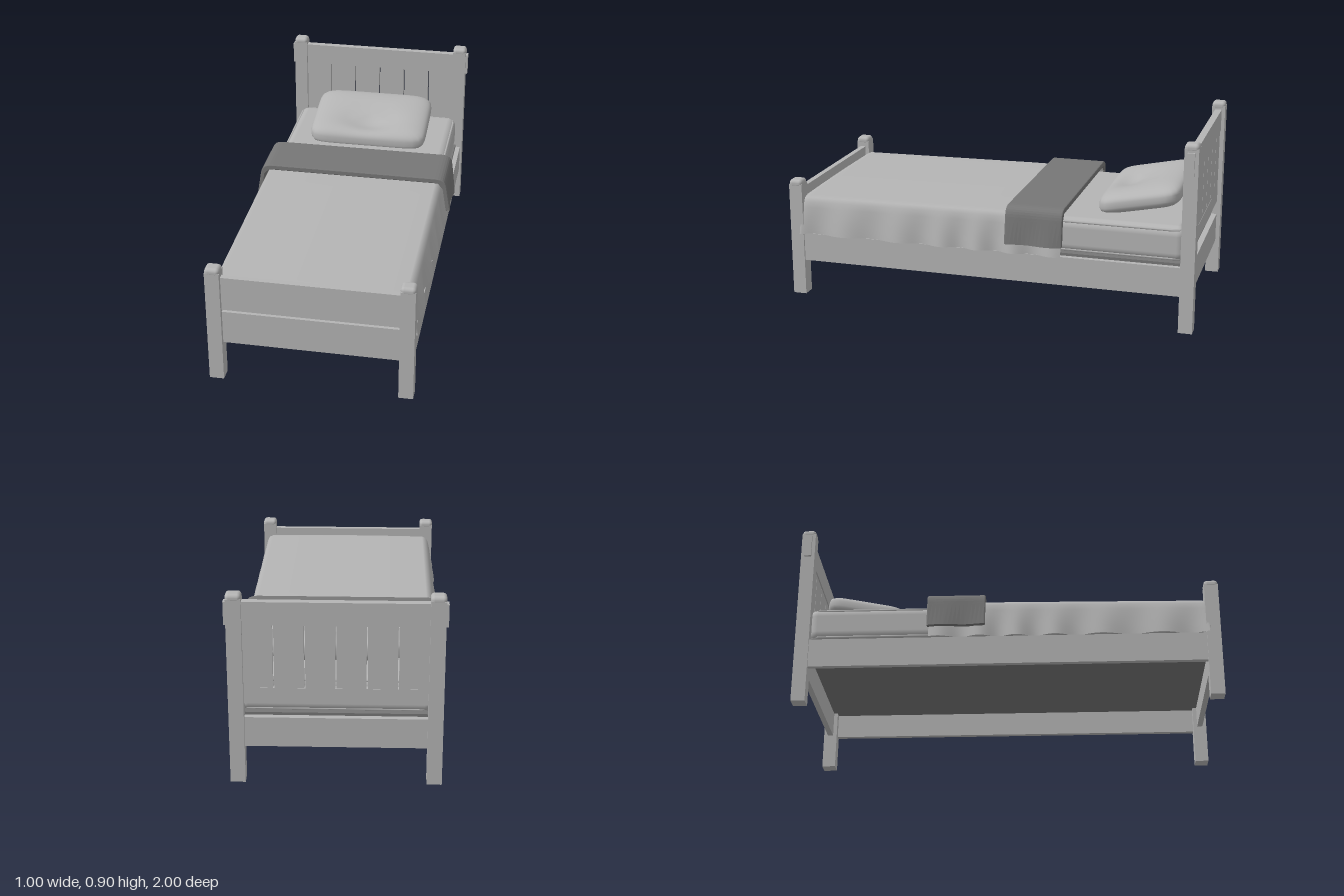
import * as THREE from 'three';
import { mergeVertices } from 'three/addons/utils/BufferGeometryUtils.js';
import { RoundedBoxGeometry } from 'three/addons/geometries/RoundedBoxGeometry.js';

export function createModel() {
  const bed = new THREE.Group();
  bed.name = 'bed';
  const mat = (name, color) => new THREE.MeshStandardMaterial({ name, color });
  const wood = mat('pale grey', 0xb4b4b4);
  const dark = mat('dark grey', 0x767676);
  const cloth = wood.clone();
  cloth.name = 'pale grey cloth';
  cloth.side = THREE.DoubleSide;

  const add = (name, geometry, material) => {
    const mesh = new THREE.Mesh(geometry, material);
    mesh.name = name;
    bed.add(mesh);
    return mesh;
  };
  // box given by its extents
  const box = (name, x0, x1, y0, y1, z0, z1, material = wood) =>
    add(name, new THREE.BoxGeometry(x1 - x0, y1 - y0, z1 - z0), material)
      .position.set((x0 + x1) / 2, (y0 + y1) / 2, (z0 + z1) / 2);
  // join coincident vertices and smooth the result
  const smooth = (g) => {
    g.deleteAttribute('uv');
    g.deleteAttribute('normal');
    const merged = mergeVertices(g, 1e-5);
    merged.computeVertexNormals();
    return merged;
  };

  // posts with softly rounded caps, and side rails
  for (const s of [-1, 1]) {
    for (const [name, z, top] of [['footPost', 0.967, 0.587], ['headPost', -0.967, 0.905]]) {
      box(name, s * 0.44 - 0.034, s * 0.44 + 0.034, 0, top - 0.023, z - 0.033, z + 0.033);
      add(name + 'Cap', new RoundedBoxGeometry(0.07, 0.04, 0.067, 4, 0.017), wood)
        .position.set(s * 0.44, top - 0.02, z);
    }
    box('sideRail', s * 0.4525 - 0.0125, s * 0.4525 + 0.0125, 0.175, 0.315, -0.94, 0.94);
  }

  // footboard
  box('footUpperBoard', -0.41, 0.41, 0.367, 0.536, 0.953, 0.98);
  box('footLowerBoard', -0.41, 0.41, 0.191, 0.356, 0.953, 0.98);

  // headboard
  box('headTopRail', -0.485, 0.485, 0.758, 0.866, -0.983, -0.95);
  box('headMiddleRail', -0.41, 0.41, 0.385, 0.46, -0.98, -0.953);
  box('headLowerRail', -0.41, 0.41, 0.172, 0.315, -0.98, -0.953);
  for (let i = 0; i < 6; i++) {
    const x = (i - 2.5) * 0.1365;
    box('headSlat', x - 0.0655, x + 0.0655, 0.45, 0.765, -0.979, -0.956);
  }

  // base board
  box('baseBoard', -0.44, 0.44, 0.295, 0.328, -0.953, 0.953, dark);

  // mattress with piped seams
  add('mattress', new RoundedBoxGeometry(0.872, 0.17, 1.895, 6, 0.045), wood)
    .position.set(0, 0.412, -0.003);
  const corners = [];
  for (const [sx, sz, a0] of [[1, 1, 0], [-1, 1, 1], [-1, -1, 2], [1, -1, 3]]) {
    for (let i = 0; i <= 4; i++) {
      const a = (a0 + i / 4) * Math.PI / 2;
      corners.push(new THREE.Vector3(sx * 0.385 + 0.04 * Math.cos(a), 0, sz * 0.898 + 0.04 * Math.sin(a)));
    }
  }
  const seam = new THREE.CurvePath();
  corners.forEach((p, i) => seam.add(new THREE.LineCurve3(p, corners[(i + 1) % corners.length])));
  for (const y of [0.343, 0.481])
    add('mattressPiping', new THREE.TubeGeometry(seam, 160, 0.007, 6, true), wood).position.y = y;

  // blanket: half profile (x, y, amount of ripple), mirrored and swept along z
  const half = [[0.466, 0.315, 1], [0.464, 0.36, 0.8], [0.46, 0.41, 0.5], [0.456, 0.455, 0.2],
    [0.451, 0.485, 0], [0.44, 0.505, 0], [0.42, 0.513, 0], [0.2, 0.516, 0]];
  const profile = [...half.map(([x, y, r]) => [-x, y, r]), [0, 0.517, 0], ...half.slice().reverse()];
  const rows = 96;
  const sheet = new THREE.PlaneGeometry(1, 1, profile.length - 1, rows);
  const p = sheet.attributes.position;
  for (let i = 0; i < p.count; i++) {
    const [x, y, r] = profile[i % profile.length];
    const t = Math.floor(i / profile.length) / rows;
    // the last rows round over and hang down behind the footboard
    const run = -0.37 + t * 1.48;
    const fold = THREE.MathUtils.clamp((run - 0.92) / 0.19, 0, 1);
    const z = Math.min(run, 0.92) + 0.031 * Math.sin(Math.min(fold * 4, 1) * Math.PI / 2);
    const drop = fold < 0.25 ? 0.025 * (1 - Math.cos(fold * 2 * Math.PI)) : 0.025 + (fold - 0.25) * 0.2;
    const wave = Math.sin(z * 29 + 1.5 * Math.sin(z * 5)) * 0.013 + 0.007;
    const sag = 0.012 * Math.max(z, 0) * (1 - r);
    p.setXYZ(i, x + Math.sign(x) * r * wave, Math.max(y - drop - sag, 0.315), z);
  }
  add('blanket', smooth(sheet), cloth);

  // folded blanket band across the bed, its hanging ends gently rippled
  const band = new THREE.Shape();
  band.moveTo(-0.495, 0.368);
  band.lineTo(-0.48, 0.48);
  band.bezierCurveTo(-0.475, 0.525, -0.465, 0.541, -0.42, 0.542);
  band.lineTo(0.42, 0.542);
  band.bezierCurveTo(0.465, 0.541, 0.475, 0.525, 0.48, 0.48);
  band.lineTo(0.495, 0.368);
  band.lineTo(0.476, 0.368);
  band.lineTo(0.46, 0.49);
  band.lineTo(0.435, 0.519);
  band.lineTo(-0.435, 0.519);
  band.lineTo(-0.46, 0.49);
  band.lineTo(-0.476, 0.368);
  const bandGeometry = new THREE.ExtrudeGeometry(band, {
    depth: 0.264, steps: 14, curveSegments: 8,
    bevelThickness: 0.006, bevelSize: 0.004, bevelOffset: -0.002, bevelSegments: 2,
  }).translate(0, 0, -0.372);
  const b = bandGeometry.attributes.position;
  for (let i = 0; i < b.count; i++) {
    const x = b.getX(i), hang = Math.max(0, 0.52 - b.getY(i)) / 0.15;
    b.setX(i, x + Math.sign(x) * 0.005 * hang * Math.cos((b.getZ(i) + 0.1) * 31));
  }
  bandGeometry.computeVertexNormals();
  add('foldedBand', bandGeometry, dark);

  // pillow: rounded rectangle outline, sloping up to the headboard, dented, flat where it rests
  const pillow = new THREE.SphereGeometry(1, 64, 32);
  const q = pillow.attributes.position;
  for (let i = 0; i < q.count; i++) {
    const nx = q.getX(i), ny = q.getY(i), nz = q.getZ(i);
    const r = Math.hypot(nx, nz);
    const k = r < 1e-4 ? 0 : Math.sqrt(r) / Math.pow(Math.abs(nx) ** 8 + Math.abs(nz) ** 8, 0.125);
    const x = nx * k, z = nz * k;
    const dent = ny > 0 ? 0.04 * ny * Math.exp(-5 * x * x - 5 * (z - 0.4) ** 2) : 0;
    const h = 0.062 * Math.sign(ny) * Math.abs(ny) ** 0.7;
    q.setXYZ(i, 0.31 * x, Math.max(0.56 + h - dent - 0.04 * z, 0.495), 0.198 * z - 0.697);
  }
  add('pillow', smooth(pillow), wood);

  return bed;
}
